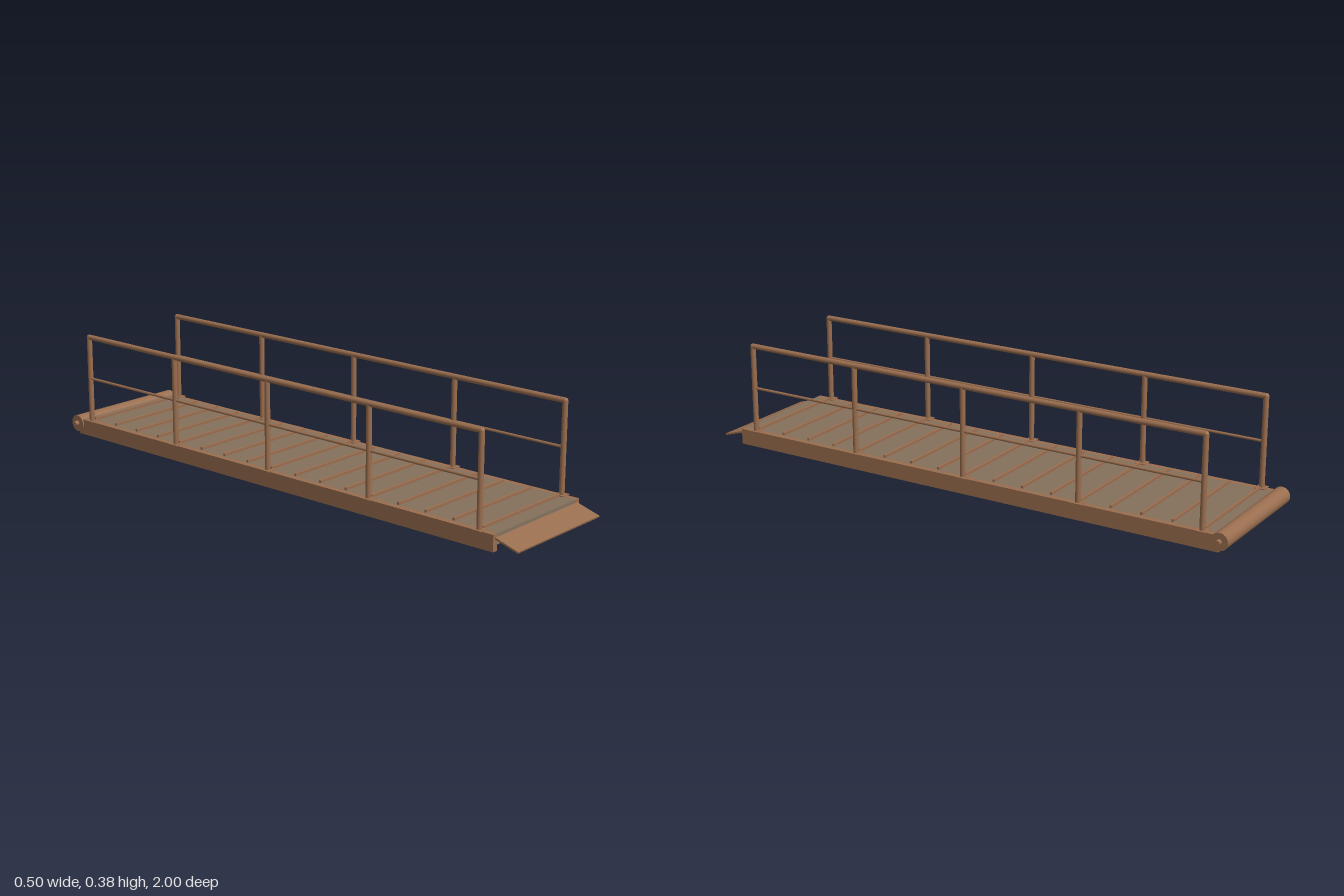
import * as THREE from 'three';

export function createModel() {
  const root = new THREE.Group();
  root.name = 'gangway';
  const steel = new THREE.MeshStandardMaterial({ color: 0x9a6e4f });
  steel.name = 'brown steel';
  const deckMat = new THREE.MeshStandardMaterial({ color: 0x85715d });
  deckMat.name = 'grey brown deck';

  const add = (name, geometry, material, x, y, z) => {
    const mesh = new THREE.Mesh(geometry, material);
    mesh.name = name;
    mesh.position.set(x, y, z);
    root.add(mesh);
    return mesh;
  };
  const box = (name, w, h, d, material, x, y, z) =>
    add(name, new THREE.BoxGeometry(w, h, d), material, x, y, z);
  const rod = (name, r, length, axis, x, y, z, sides = 16) => {
    const g = new THREE.CylinderGeometry(r, r, length, sides);
    if (axis === 'x') g.rotateZ(Math.PI / 2);
    if (axis === 'z') g.rotateX(Math.PI / 2);
    return add(name, g, steel, x, y, z);
  };

  const backZ = -0.905, frontZ = 0.855, midZ = (backZ + frontZ) / 2;
  const railLength = frontZ - backZ;

  // Walking deck and cross cleats
  box('deck', 0.42, 0.036, 1.88, deckMat, 0, 0.038, -0.025);
  for (let i = 0; i <= 16; i++) {
    box('cleat', 0.41, 0.009, 0.008, steel, 0, 0.0605, backZ + i * 0.11);
  }

  // Side beams and handrails, mirrored
  for (const s of [-1, 1]) {
    const x = s * 0.22;
    box('sideBeam', 0.02, 0.056, 1.88, steel, x, 0.028, -0.025);
    rod('topRail', 0.0095, railLength, 'z', x, 0.371, midZ);
    rod('middleRail', 0.005, railLength, 'z', x, 0.217, midZ, 10);
    for (let i = 0; i < 5; i++) {
      const z = backZ + i * 0.44;
      rod('post', 0.0095, 0.315, 'y', x, 0.2135, z);
      box('postFoot', 0.036, 0.003, 0.036, steel, x, 0.0575, z);
    }
    for (const z of [backZ, frontZ]) {
      add('railEnd', new THREE.SphereGeometry(0.0095, 16, 10), steel, x, 0.371, z);
    }
  }

  // Roller and its axle at the back
  rod('roller', 0.03, 0.47, 'x', 0, 0.038, -0.97, 28);
  rod('axle', 0.009, 0.502, 'x', 0, 0.0385, -0.97, 16);

  // Sloping landing flap at the front
  const flap = box('landingFlap', 0.44, 0.006, 0.091, steel, 0, 0.0295, 0.9565);
  flap.rotation.x = 0.29;

  return root;
}
